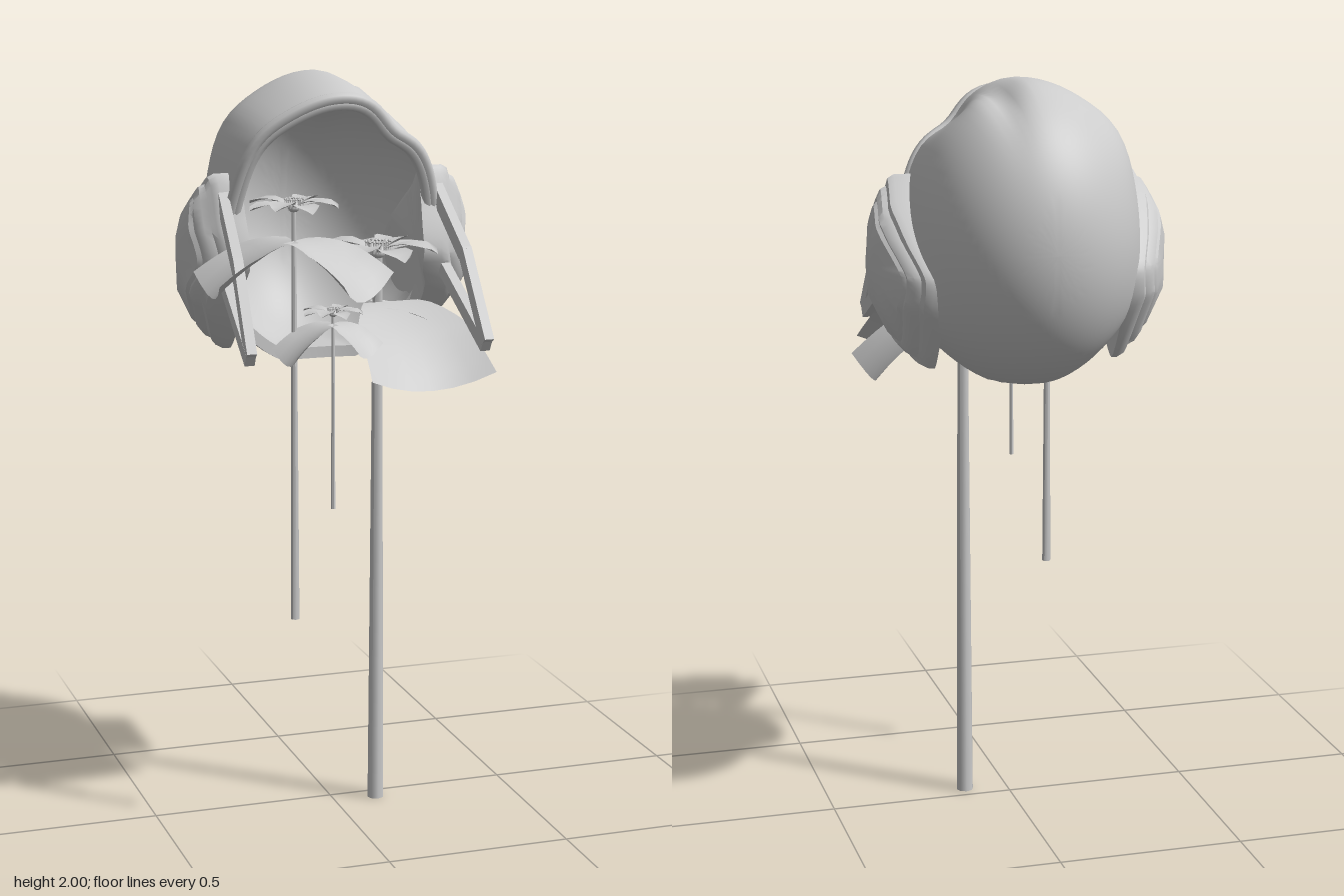
import * as THREE from 'three';
import { toCreasedNormals } from 'three/addons/utils/BufferGeometryUtils.js';

const V = (x, y, z) => new THREE.Vector3(x, y, z);
const material = new THREE.MeshStandardMaterial({ color: 0xcccccc, side: THREE.DoubleSide });

function add(parent, name, geometry) {
  const mesh = new THREE.Mesh(geometry, material);
  mesh.name = name;
  parent.add(mesh);
  return mesh;
}

// Skin a list of closed rings with equal point counts
function loft(rings, crease) {
  const n = rings[0].length, pos = [], idx = [];
  rings.forEach(r => r.forEach(p => pos.push(p.x, p.y, p.z)));
  for (let i = 0; i < rings.length - 1; i++) for (let j = 0; j < n; j++) {
    const k = (j + 1) % n, a = i * n + j, b = i * n + k, c = a + n, d = b + n;
    idx.push(a, b, c, b, d, c);
  }
  const g = new THREE.BufferGeometry();
  g.setAttribute('position', new THREE.Float32BufferAttribute(pos, 3));
  g.setIndex(idx);
  return toCreasedNormals(g, crease);
}

// Bent sheet: rule(s, t) gives a point, s along the length and t across (-1..1)
function sheet(rule, ns, nt) {
  const g = new THREE.PlaneGeometry(1, 1, ns, nt), p = g.attributes.position;
  for (let i = 0; i < p.count; i++) {
    const q = rule(p.getX(i) + 0.5, p.getY(i) * 2);
    p.setXYZ(i, q.x, q.y, q.z);
  }
  g.computeVertexNormals();
  return g;
}

// Point on the dented helmet: u runs round the opening, t from the back pole
function shellPoint(u, t, k) {
  const c = Math.cos(t) > 0 ? 0.335 : 0.5;
  const p = V(0.3 * Math.sin(t) * Math.cos(u), 0.4 * Math.sin(t) * Math.sin(u), -c * Math.cos(t));
  const bump = (v, m, w) => Math.exp(-(((v - m) / w) ** 2));
  let f = 1;
  if (p.y > 0) {
    f -= 0.08 * bump(p.x, 0.075, 0.035) * bump(p.z, -0.06, 0.14);
    f -= 0.13 * bump(p.x, 0.17, 0.07) * bump(p.z, 0.17, 0.17) * bump(p.y, 0.34, 0.12);
    f += 0.05 * bump(p.x, -0.23, 0.08) * bump(p.y, 0.25, 0.12);
  }
  // Swelling low at the sides, behind the ear cups
  const ear = 1 + 0.13 * bump(p.y, -0.2, 0.13) * bump(p.z, 0.0, 0.13);
  p.multiply(V(f * ear, f, 1)).multiplyScalar(k);
  p.y = Math.max(p.y, -0.375 * k);
  return p.add(V(0, 1.6, -0.12));
}
const edgeAngle = u => THREE.MathUtils.degToRad(105 + 13 * Math.sin(u));

function buildHelmet() {
  const helmet = new THREE.Group();
  helmet.name = 'helmet';
  const N = 72, M = 30;
  const ring = (f, k) => Array.from({ length: N }, (_, j) => {
    const u = j / N * Math.PI * 2;
    return shellPoint(u, Math.max(f, 0.001) * edgeAngle(u), k);
  });
  const rings = [];
  for (let i = 0; i <= M; i++) rings.push(ring(i / M, 1));
  for (let i = M; i >= 0; i--) rings.push(ring(i / M, 0.92));
  add(helmet, 'shell', loft(rings, 0.9));

  // Raised brow band: two rolls along the upper opening
  for (const [k, r, shift] of [[0.98, 0.017, 0], [0.935, 0.016, 0.006]]) {
    const pts = [];
    for (let i = 0; i <= 30; i++) {
      const u = -0.1 + (Math.PI + 0.2) * i / 30;
      pts.push(shellPoint(u, edgeAngle(u), k).add(V(0, 0, shift)));
    }
    add(helmet, 'browBand', new THREE.TubeGeometry(new THREE.CatmullRomCurve3(pts), 60, r, 8));
  }

  // Ear cups as stepped, scaled outlines in the side plane, sloping in towards every rim
  const outline = new THREE.CatmullRomCurve3([[-0.01, 1.75], [-0.13, 1.66], [-0.26, 1.52], [-0.245, 1.42],
    [-0.14, 1.26], [-0.03, 1.36], [0.07, 1.52], [0.035, 1.65]].map(([z, y]) => V(0, y, z)),
  true, 'catmullrom', 0.3).getPoints(48).slice(0, 48);
  const steps = [[0, 0.275], [0.9, 0.275], [1, 0.285], [1, 0.345], [0.96, 0.36], [0.88, 0.362],
    [0.85, 0.376], [0.76, 0.384], [0.72, 0.382], [0.68, 0.39], [0.35, 0.397], [0, 0.399]];
  for (const s of [1, -1]) {
    const cup = steps.map(([k, x]) => {
      const r = outline.map(p => {
        const z = -0.09 + (p.z + 0.09) * k, y = 1.52 + (p.y - 1.52) * k;
        const taper = Math.max(0, -z - 0.1) * 0.45 + Math.max(0, z + 0.01) * 0.7
          + Math.max(0, y - 1.6) * 0.2 + Math.max(0, 1.44 - y) * 0.4;
        return V(s * Math.max(x - taper, 0.24), y, z);
      });
      return s < 0 ? r.reverse() : r;
    });
    add(helmet, s > 0 ? 'leftEarCup' : 'rightEarCup', loft(cup, 0.6));
  }

  // Chin straps: a V of flat bars on each side
  const bar = (a, b, w) => {
    const m = add(helmet, 'chinStrap', new THREE.BoxGeometry(0.026, w, a.distanceTo(b)));
    m.position.copy(a).add(b).multiplyScalar(0.5);
    m.lookAt(b);
  };
  for (const s of [1, -1]) {
    bar(V(s * 0.295, 1.7, -0.01), V(s * 0.31, 1.54, 0.19), 0.04);
    bar(V(s * 0.31, 1.55, 0.185), V(s * 0.318, 1.33, 0.335), 0.035);
    bar(V(s * 0.305, 1.48, 0.05), V(s * 0.318, 1.32, 0.33), 0.035);
  }
  return helmet;
}

// Broad drooping leaf leaving the stem in direction angle (0 = +x, 90 = +z),
// with its far corners curled up by lift
function leaf(parent, x, y, z, angle, length, width, droop, lift) {
  const a = THREE.MathUtils.degToRad(angle), ca = Math.cos(a), sa = Math.sin(a);
  add(parent, 'leaf', sheet((s, t) => {
    const w = width / 2 * (0.45 + 0.55 * Math.min(1, s * 2)) * (1 - 0.1 * Math.sin(Math.PI * s));
    const l = length * s * (0.94 + 0.06 * t * t), o = w * t;
    return V(x + ca * l - sa * o, y - droop * s ** 1.6 + lift * t * t * s, z + sa * l + ca * o);
  }, 8, 6));
}

function flower(x, z, y0, y1, rBottom, rTop, radius) {
  const g = new THREE.Group();
  g.name = 'flower';
  const stem = add(g, 'stem', toCreasedNormals(new THREE.CylinderGeometry(rTop, rBottom, y1 - y0, 8), 0.9));
  stem.position.set(x, (y0 + y1) / 2, z);
  const head = new THREE.Group();
  head.name = 'bloom';
  head.position.set(x, y1, z);
  g.add(head);
  // Eight slim petals, alternately raised
  const widths = [0.06, 0.16, 0.25, 0.27, 0.12];
  for (let i = 0; i < 8; i++) {
    const petal = add(head, 'petal', sheet((s, t) => V(
      radius * (0.08 + s * (0.94 - 0.06 * t * t)),
      radius * (0.12 * Math.sin(s * 3) - 0.04 * s + 0.08 * t * t * s),
      radius * widths[Math.round(s * 4)] * t), 4, 2));
    petal.rotation.y = i * Math.PI / 4 + 0.1;
    petal.position.y = (i % 2) * radius * 0.06;
  }
  // Button centre ringed with stamens
  add(head, 'centre', new THREE.SphereGeometry(radius * 0.13, 10, 6)).scale.y = 0.8;
  for (let i = 0; i < 28; i++) {
    const a = i * 2.4, r = radius * (0.13 + 0.015 * (i % 8));
    const tip = add(head, 'stamen', new THREE.OctahedronGeometry(radius * 0.025));
    tip.position.set(Math.cos(a) * r, radius * 0.18, Math.sin(a) * r);
    const rod = add(head, 'filament', new THREE.CylinderGeometry(radius * 0.008, radius * 0.008, radius * 0.18, 4));
    rod.position.set(Math.cos(a) * r, radius * 0.09, Math.sin(a) * r);
  }
  return g;
}

export function createModel() {
  const model = new THREE.Group();
  model.name = 'helmetWithFlowers';
  model.add(buildHelmet());

  // Tall flower
  const tall = flower(0.118, 0.045, 0, 1.53, 0.023, 0.013, 0.165);
  leaf(tall, 0.15, 1.4, 0.06, 86, 0.29, 0.35, 0.19, 0.04);
  leaf(tall, 0.12, 1.39, 0.04, 0, 0.27, 0.31, 0.185, 0.03);
  // Middle flower
  const middle = flower(-0.167, 0.215, 0.595, 1.685, 0.012, 0.006, 0.12);
  leaf(middle, -0.165, 1.6, 0.2, 180, 0.23, 0.25, 0.14, 0.05);
  leaf(middle, -0.165, 1.6, 0.215, 49, 0.22, 0.25, 0.14, 0.06);
  // Short flower
  const short = flower(-0.078, 0.265, 0.9, 1.415, 0.006, 0.004, 0.08);
  leaf(short, -0.078, 1.39, 0.265, 170, 0.14, 0.14, 0.1, 0.035);
  leaf(short, -0.078, 1.39, 0.265, 50, 0.11, 0.13, 0.08, 0.03);
  model.add(tall, middle, short);
  return model;
}
